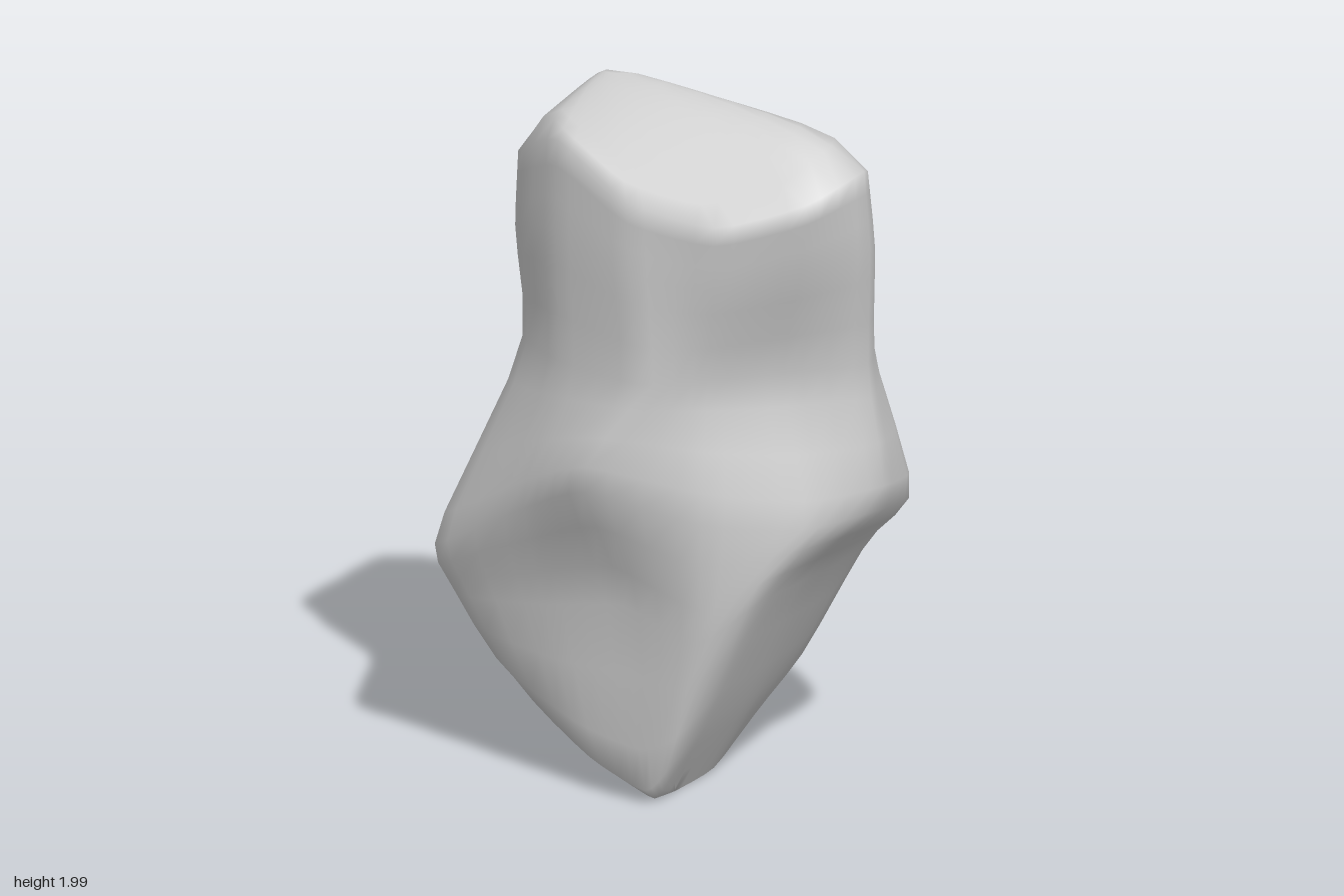
import * as THREE from 'three';
import { mergeVertices } from 'three/addons/utils/BufferGeometryUtils.js';

const V = (x, y, z) => new THREE.Vector3(x, y, z);
const { lerp, clamp } = THREE.MathUtils;
const AROUND = 48, UP = 20, CAP = 8;

// Cross-sections run from +x round through +z (front), -x and -z (back).
const foot = [
  [.22, .26, .05], [.21, .24, .28], [.15, .13, .38], [.07, .05, .39],
  [-.12, .11, .38], [-.38, .25, .32], [-.49, .37, .14], [-.42, .33, -.05],
  [-.27, .29, -.21], [-.05, .27, -.35], [.12, .27, -.36], [.2, .28, -.2]];
const hollow = [
  [.41, .64, .06], [.385, .63, .29], [.24, .52, .39], [0, .6, .4],
  [-.25, .55, .4], [-.55, .5, .37], [-.55, .5, .15], [-.48, .5, -.07],
  [-.34, .5, -.27], [-.02, .54, -.49], [.22, .56, -.44], [.38, .62, -.25]];
const belly = [
  [.585, .85, 0], [.47, .84, .21], [.26, .88, .4], [-.04, .95, .53],
  [-.26, .85, .48], [-.59, .66, .39], [-.53, .8, .15], [-.5, .82, -.13],
  [-.35, .8, -.31], [.05, .72, -.525], [.32, .75, -.43], [.52, .8, -.25]];
const waist = [
  [.54, 0], [.38, .18], [.24, .34], [.09, .46], [-.18, .43], [-.38, .3],
  [-.45, .05], [-.45, -.18], [-.32, -.34], [-.08, -.42], [.22, -.38], [.43, -.2]];
const rim = [
  [.57, .07], [.5, .25], [.3, .4], [.05, .45], [-.2, .4], [-.4, .28],
  [-.5, 0], [-.5, -.21], [-.35, -.35], [-.18, -.42], [.2, -.3], [.42, -.17]];

// Height of the top: sloping faces joined by a soft minimum, so their edges are worn
function topHeight(x, z) {
  const faces = [
    1.97 - .95 * (.15 - z),              // long back slope
    2 - .65 * (z - .15),                 // front bevel
    2 - .85 * (z - .12) - .35 * x,       // front left bevel
    1.97 + 1.27 * (x + .2),              // steep right bevel
    2 - .16 * (x + .2),                  // ridge
    1.9 - .7 * (x - .39)];               // left end
  const k = .025;
  return .035 - k * Math.log(faces.reduce((sum, h) => sum + Math.exp((2 - h) / k), 0)) + 2;
}

function smoothRing(points) {
  const curve = new THREE.CatmullRomCurve3(points, true, 'catmullrom', .3);
  return Array.from({ length: AROUND }, (_, j) => curve.getPoint(j / AROUND));
}

function rockGeometry() {
  // Narrow keel under the foot, rising towards the back
  const keel = foot.map(p => {
    const z = clamp(p[2], -.16, .25);
    return V(.08, Math.max(0, (.07 - z) * .45), z);
  });
  const rimRing = rim.map(([x, z]) => V(x, topHeight(x, z), z));
  const waistRing = waist.map(([x, z]) => V(x, 1.2, z));
  // Slightly swollen shoulder between waist and rim
  const shoulder = waistRing.map((p, i) => {
    const s = p.clone().lerp(rimRing[i], .6);
    return V(s.x * 1.025, s.y, s.z * 1.015);
  });
  const sections = [
    keel, ...[foot, hollow, belly].map(r => r.map(p => V(...p))),
    waistRing, shoulder, rimRing,
  ].map(smoothRing);

  // Sides: a spline up through the cross-sections at each step around
  const columns = Array.from({ length: AROUND }, (_, j) =>
    new THREE.CatmullRomCurve3(sections.map(s => s[j]), false, 'catmullrom', .35));
  const rings = [];
  for (let i = 0; i < UP; i++) rings.push(columns.map(c => c.getPoint(i / (UP - 1))));

  // Top: shrink the rim towards the peak, following the sloping faces
  const edge = rings[UP - 1];
  for (let k = 1; k <= CAP; k++) {
    rings.push(edge.map(p => {
      const x = lerp(p.x, -.2, k / CAP), z = lerp(p.z, .15, k / CAP);
      return V(x, topHeight(x, z), z);
    }));
  }

  const positions = rings.flat().flatMap(p => [p.x, Math.max(0, p.y), p.z]);
  const index = [];
  for (let i = 0; i < rings.length - 1; i++) {
    for (let j = 0; j < AROUND; j++) {
      const a = i * AROUND + j, b = i * AROUND + (j + 1) % AROUND;
      index.push(a, a + AROUND, b, b, a + AROUND, b + AROUND);
    }
  }
  let geometry = new THREE.BufferGeometry();
  geometry.setAttribute('position', new THREE.Float32BufferAttribute(positions, 3));
  geometry.setIndex(index);
  geometry = mergeVertices(geometry, 1e-4);
  geometry.computeVertexNormals();
  return geometry;
}

export function createModel() {
  const group = new THREE.Group();
  group.name = 'boulder';
  const rock = new THREE.Mesh(rockGeometry(), new THREE.MeshStandardMaterial({ color: 0xcccccc }));
  rock.name = 'rock';
  group.add(rock);
  return group;
}
